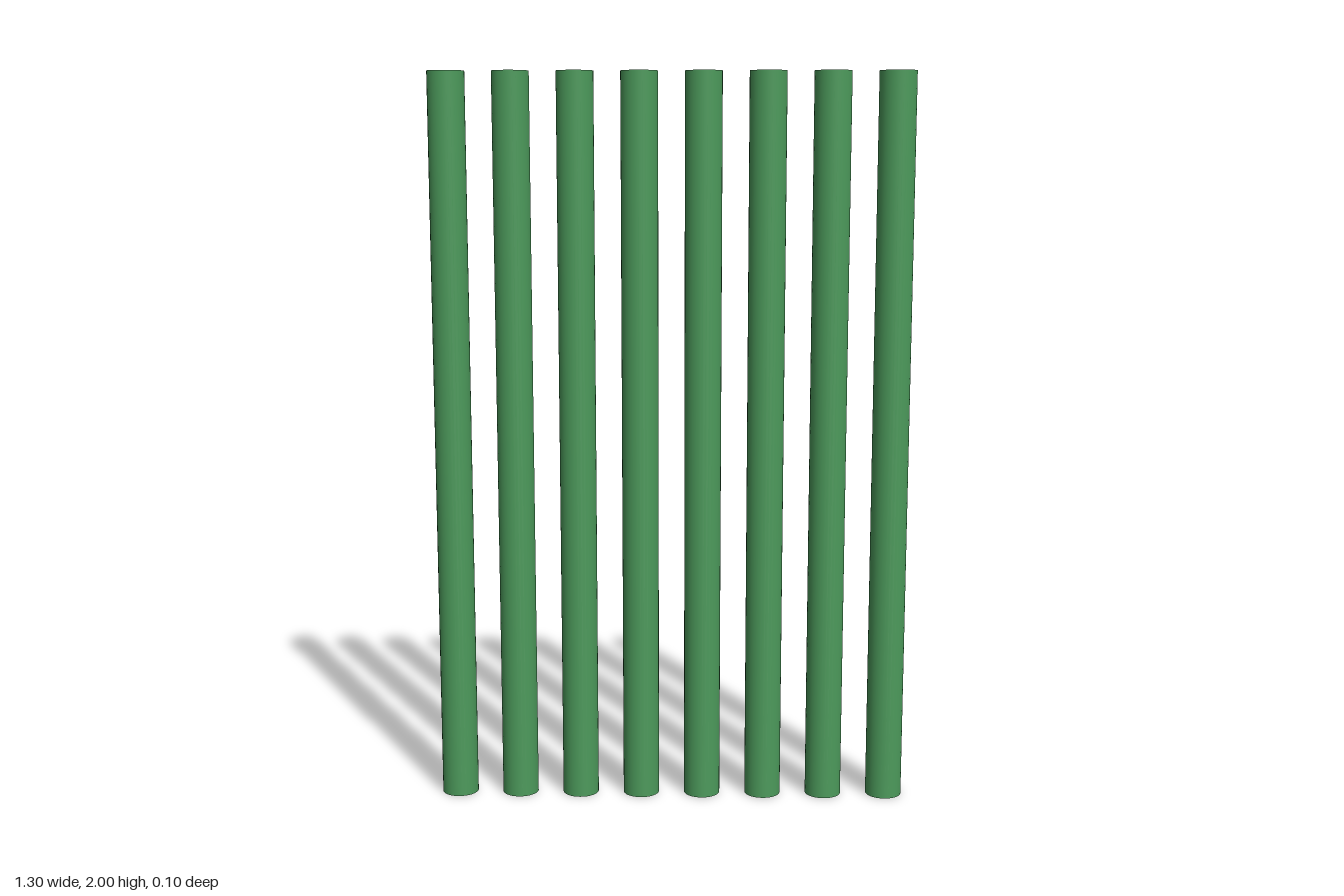
import * as THREE from 'three';

const COUNT = 8;
const SPACING = 0.171;
const RADIUS = 0.05;
const HEIGHT = 2;

export function createModel() {
  const group = new THREE.Group();
  group.name = 'barRow';

  const green = new THREE.MeshStandardMaterial({ color: 0x4c9a5b });
  green.name = 'green';

  // Row of identical capped round bars standing on the ground
  const barGeometry = new THREE.CylinderGeometry(RADIUS, RADIUS, HEIGHT, 32);
  for (let i = 0; i < COUNT; i++) {
    const bar = new THREE.Mesh(barGeometry, green);
    bar.name = `bar${i + 1}`;
    bar.position.set((i - (COUNT - 1) / 2) * SPACING, HEIGHT / 2, 0);
    group.add(bar);
  }

  return group;
}
